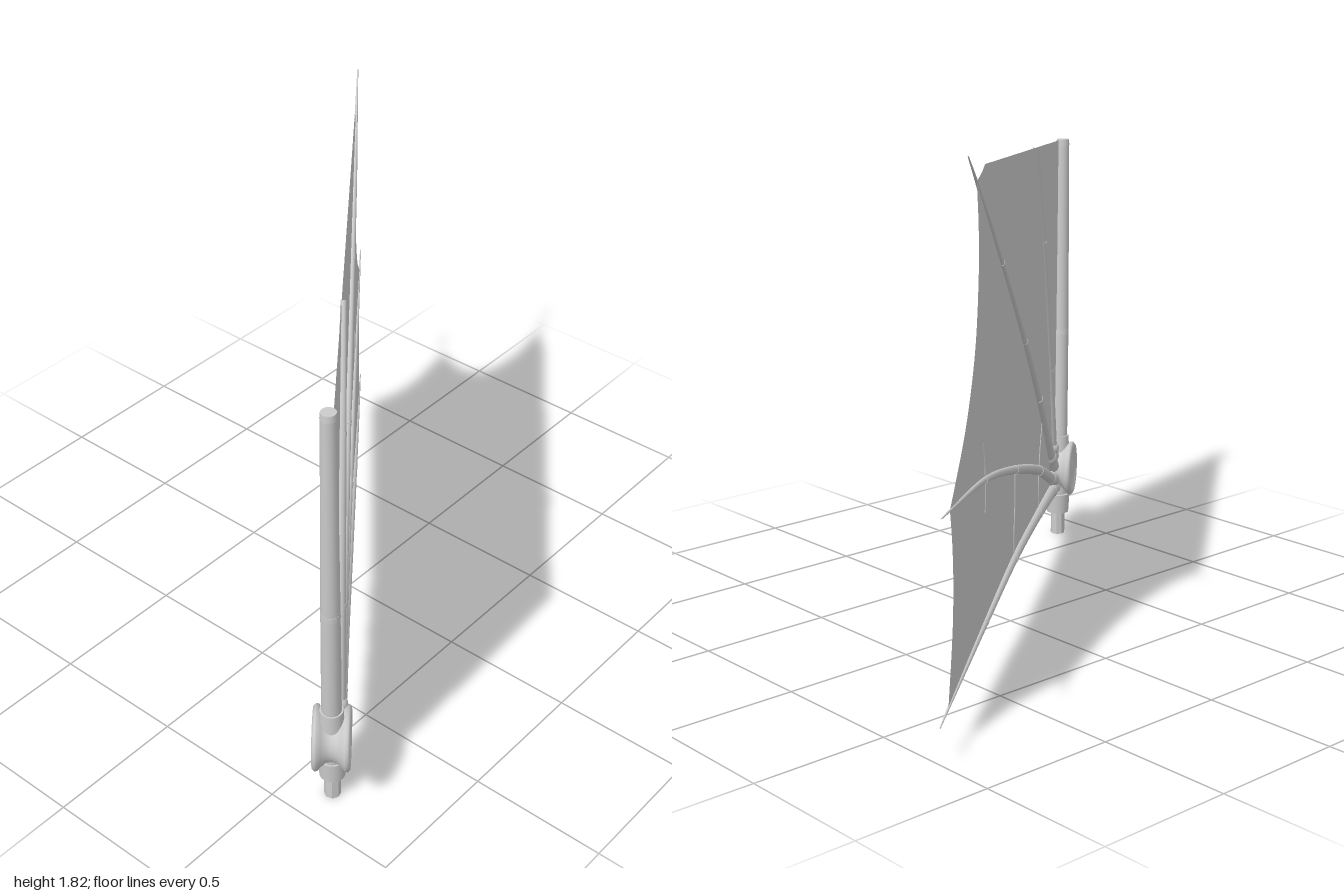
import * as THREE from 'three';

// The wing lies in an upright plane turned about y.
const TURN = Math.atan(0.78), COS = Math.cos(TURN), SIN = Math.sin(TURN);
const W = -0.015; // mast and hub sit slightly behind the membrane
const grey = new THREE.MeshStandardMaterial({ color: 0xcccccc });
const thin = new THREE.MeshStandardMaterial({ color: 0xcccccc, side: THREE.DoubleSide });
const faceted = new THREE.MeshStandardMaterial({ color: 0xcccccc, flatShading: true });

// world x and height -> point in the wing's own plane, w off the plane
const P = (x, y, w = 0) => new THREE.Vector3((x - SIN * w) / COS, y, w);
const curveOf = (pts, w = 0) => new THREE.CatmullRomCurve3(pts.map(([x, y]) => P(x, y, w)));

// tube whose radius follows a list of values along its length
function taperedTube(curve, radii, sides = 12, seg = 40) {
  const g = new THREE.TubeGeometry(curve, seg, 1, sides);
  const pos = g.attributes.position, v = new THREE.Vector3();
  for (let i = 0; i <= seg; i++) {
    const c = curve.getPointAt(i / seg);
    const f = (i / seg) * (radii.length - 1), k = Math.min(Math.floor(f), radii.length - 2);
    const r = THREE.MathUtils.lerp(radii[k], radii[k + 1], f - k);
    for (let j = 0; j <= sides; j++) {
      const n = i * (sides + 1) + j;
      v.fromBufferAttribute(pos, n).sub(c).multiplyScalar(r).add(c);
      pos.setXYZ(n, v.x, v.y, v.z);
    }
  }
  g.computeBoundingSphere();
  return g;
}

export function createModel() {
  const wing = new THREE.Group();
  wing.name = 'wing';
  wing.rotation.y = TURN;

  const add = (name, geometry, position, material = grey) => {
    const m = new THREE.Mesh(geometry, material);
    m.name = name;
    if (position) m.position.copy(position);
    wing.add(m);
    return m;
  };
  // cylinder running between two points
  const rod = (name, a, b, ra, rb, sides = 20, material = grey) => {
    const m = add(name, new THREE.CylinderGeometry(rb, ra, a.distanceTo(b), sides),
      a.clone().lerp(b, 0.5), material);
    m.quaternion.setFromUnitVectors(new THREE.Vector3(0, 1, 0), b.clone().sub(a).normalize());
    return m;
  };

  // Mast
  const mast = curveOf([[-0.883, 0.38], [-0.895, 0.6], [-0.907, 0.86], [-0.92, 1.3], [-0.927, 1.65]], W);
  add('mast', taperedTube(mast, [0.034, 0.033, 0.031, 0.028, 0.026], 16));
  rod('mastCap', P(-0.927, 1.635, W), P(-0.927, 1.658, W), 0.027, 0.025);
  rod('mastJoint', P(-0.9065, 0.85, W), P(-0.9075, 0.87, W), 0.0335, 0.0325);

  // Post, collar and pin below the hub
  rod('mastSocket', P(-0.88, 0.3, W), P(-0.884, 0.42, W), 0.046, 0.04);
  rod('post', P(-0.862, 0.16, W), P(-0.868, 0.32, W), 0.04, 0.045);
  rod('collar', P(-0.86, 0.095, W), P(-0.86, 0.175, W), 0.045, 0.05);
  rod('pin', P(-0.86, 0, W), P(-0.86, 0.11, W), 0.029, 0.029, 8, faceted);

  // Hub: waisted spool with a stepped disc and boss on each face
  const spool = [[0, -0.062], [0.02, -0.062], [0.025, -0.056], [0.082, -0.054], [0.087, -0.063],
    [0.104, -0.064], [0.112, -0.056], [0.111, -0.046], [0.097, -0.034], [0.083, -0.018], [0.08, 0]];
  const profile = [...spool, ...spool.slice(0, -1).reverse().map(([r, y]) => [r, -y])];
  const hub = add('hub', new THREE.LatheGeometry(profile.map(([r, y]) => new THREE.Vector2(r, y)), 40),
    P(-0.875, 0.28, W));
  hub.rotation.x = Math.PI / 2;

  // Ribs fanning out from the hub, ending in bare spikes
  const ribs = [
    { pts: [[-0.815, 0.38], [-0.745, 0.73], [-0.6, 1.29], [-0.475, 1.69]], radii: [0.023, 0.019, 0.016, 0.01], w: 0.006 },
    { pts: [[-0.755, 0.36], [-0.5, 0.69], [-0.235, 0.995], [0.135, 1.375], [0.495, 1.725], [0.6, 1.82]],
      radii: [0.025, 0.021, 0.017, 0.014, 0.011, 0.002], w: 0.002 },
    { pts: [[-0.755, 0.272], [-0.51, 0.395], [-0.065, 0.56], [0.4, 0.695], [0.86, 0.766], [0.965, 0.78]],
      radii: [0.025, 0.02, 0.017, 0.013, 0.009, 0.002], w: 0 },
    { pts: [[-0.77, 0.213], [-0.49, 0.222], [-0.05, 0.222], [0.4, 0.185], [0.895, 0.132], [1, 0.12]],
      radii: [0.028, 0.021, 0.018, 0.014, 0.009, 0.002], w: 0 },
  ];
  ribs.forEach(({ pts, radii, w }, i) => {
    const curve = curveOf(pts, w);
    add(`rib${i + 1}`, taperedTube(curve, radii));
    // root cuff and knuckle at the hub
    const start = P(...pts[0], w), out = curve.getTangentAt(0);
    rod('ribCuff', start.clone().addScaledVector(out, -0.07), start.clone().addScaledVector(out, 0.015), 0.032, 0.026, 14);
    add('ribKnuckle', new THREE.SphereGeometry(0.031, 14, 10), start);
    // slim joints along the rib
    for (const [x, y] of pts.slice(1, i ? -2 : -1)) {
      const c = P(x, y, w);
      let best = 0;
      for (let t = 0; t <= 1; t += 0.01)
        if (curve.getPointAt(t).distanceTo(c) < curve.getPointAt(best).distanceTo(c)) best = t;
      const d = curve.getTangentAt(best), f = best * (radii.length - 1), k = Math.floor(f);
      const r = THREE.MathUtils.lerp(radii[k], radii[k + 1], f - k) + 0.0015;
      rod('ribJoint', c.clone().addScaledVector(d, -0.008), c.clone().addScaledVector(d, 0.008), r, r, 12);
    }
  });

  // Membrane: straight top, scalloped outer edge, small notches by the hub
  const s = new THREE.Shape();
  const at = ([x, y]) => new THREE.Vector2(x / COS, y);
  const line = (...pts) => pts.forEach(p => s.lineTo(at(p).x, at(p).y));
  const spline = (...pts) => s.splineThru(pts.map(at));
  s.moveTo(-0.925 / COS, 1.652);
  line([0.38, 1.76], [0.425, 1.74], [0.495, 1.722]);
  spline([0.473, 1.58], [0.473, 1.42], [0.525, 1.18], [0.655, 0.96], [0.858, 0.766]);
  spline([0.832, 0.64], [0.824, 0.5], [0.84, 0.345], [0.895, 0.132]);
  spline([0.4, 0.185], [-0.05, 0.222], [-0.49, 0.222], [-0.78, 0.213]);
  line([-0.78, 0.26], [-0.73, 0.285], [-0.735, 0.32], [-0.75, 0.36], [-0.755, 0.43], [-0.805, 0.41], [-0.885, 0.4]);
  spline([-0.907, 0.86], [-0.92, 1.3], [-0.925, 1.652]);
  add('membrane', new THREE.ShapeGeometry(s, 14), null, thin);

  // Faint seams across the membrane
  const seams = [
    [[-0.58, 0.575], [-0.535, 0.47], [-0.51, 0.36], [-0.505, 0.23]],
    [[-0.075, 0.56], [-0.07, 0.44], [-0.055, 0.32], [-0.055, 0.225]],
    [[0.42, 0.83], [0.4, 0.74], [0.395, 0.65], [0.4, 0.58]],
  ];
  for (const pts of seams) add('seam', taperedTube(curveOf(pts), [0.003, 0.004, 0.003], 6, 16));

  const model = new THREE.Group();
  model.name = 'foldingWing';
  model.add(wing);
  return model;
}
